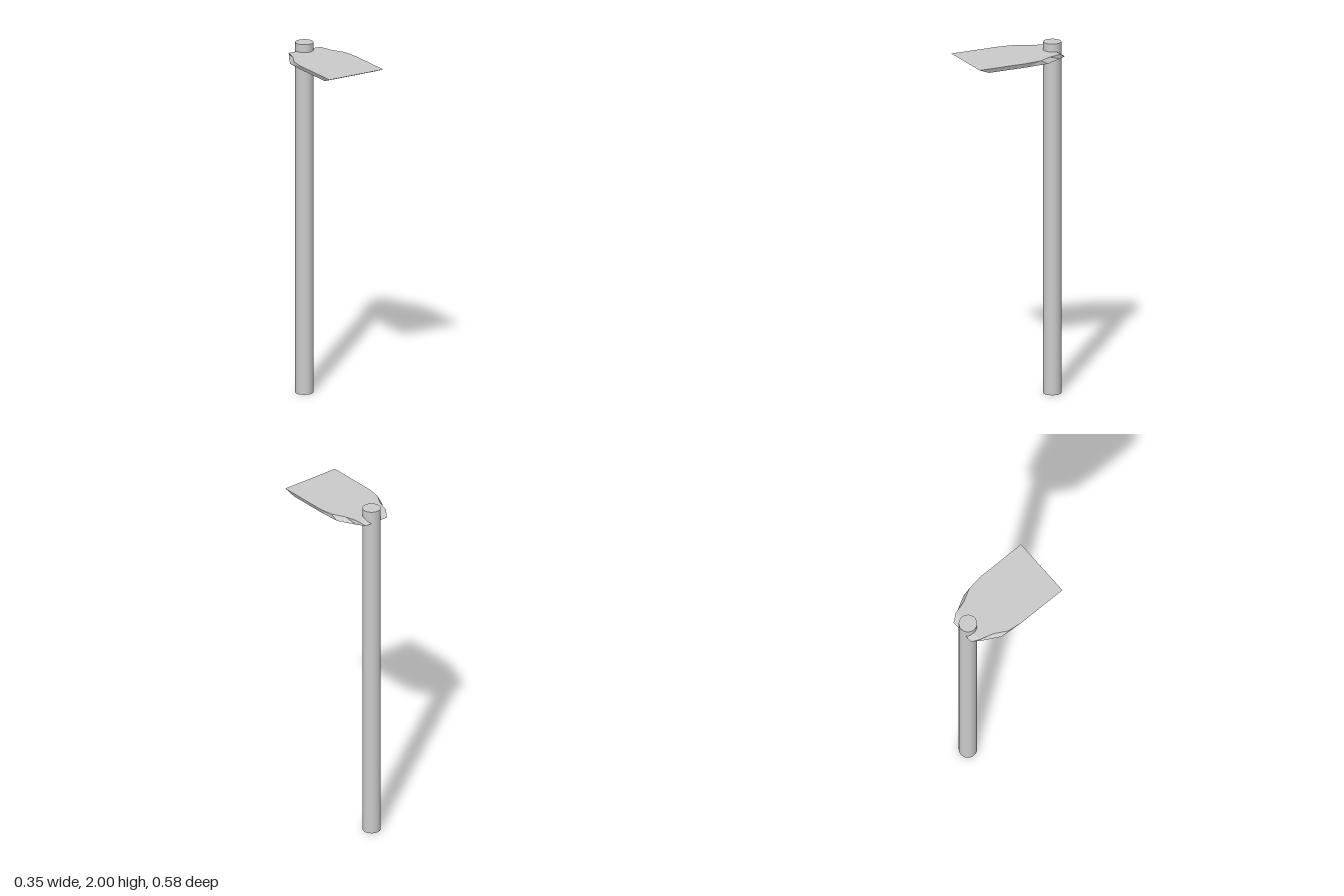
import * as THREE from 'three';

const POLE_Z = -0.24;

// Thin plate lofted between two mirrored outlines, given as [x, z] from front to back.
function plateGeometry(top, bottom, yTop, yBottom) {
  const ring = (half, y) => [
    ...half.map(([x, z]) => [x, y, z]),
    ...half.map(([x, z]) => [-x, y, z]).reverse(),
  ];
  const a = ring(top, yTop);
  const b = ring(bottom, yBottom);
  const n = a.length;
  const positions = [];
  const quad = (p, q, r, s) => positions.push(...p, ...q, ...r, ...p, ...r, ...s);

  // bevelled rim
  for (let i = 0; i < n; i++) {
    const j = (i + 1) % n;
    quad(b[i], b[j], a[j], a[i]);
  }
  // upper and lower faces, in strips from side to side
  for (let i = 0; i < n / 2 - 1; i++) {
    const l = n - 1 - i;
    quad(a[i], a[i + 1], a[l - 1], a[l]);
    quad(b[l], b[l - 1], b[i + 1], b[i]);
  }

  const geometry = new THREE.BufferGeometry();
  geometry.setAttribute('position', new THREE.Float32BufferAttribute(positions, 3));
  geometry.computeVertexNormals();
  return geometry;
}

export function createModel() {
  const model = new THREE.Group();
  model.name = 'hoe';

  // long round handle
  const handle = new THREE.Mesh(
    new THREE.CylinderGeometry(0.05, 0.05, 2, 32),
    new THREE.MeshStandardMaterial({ color: 0xcccccc })
  );
  handle.name = 'handle';
  handle.position.set(0, 1, POLE_Z);
  model.add(handle);

  // flat blade, bevelled at the cutting edge and notched at the shoulders
  const top = [[0.174, 0.287], [0.174, -0.01], [0.162, -0.092], [0.122, -0.165], [0.102, -0.24]];
  const bottom = [[0.165, 0.225], [0.165, -0.01], [0.158, -0.135], [0.104, -0.235], [0.073, -0.28]];
  const blade = new THREE.Mesh(
    plateGeometry(top, bottom, 1.955, 1.93),
    new THREE.MeshStandardMaterial({ color: 0xcccccc, flatShading: true })
  );
  blade.name = 'blade';
  model.add(blade);

  return model;
}
